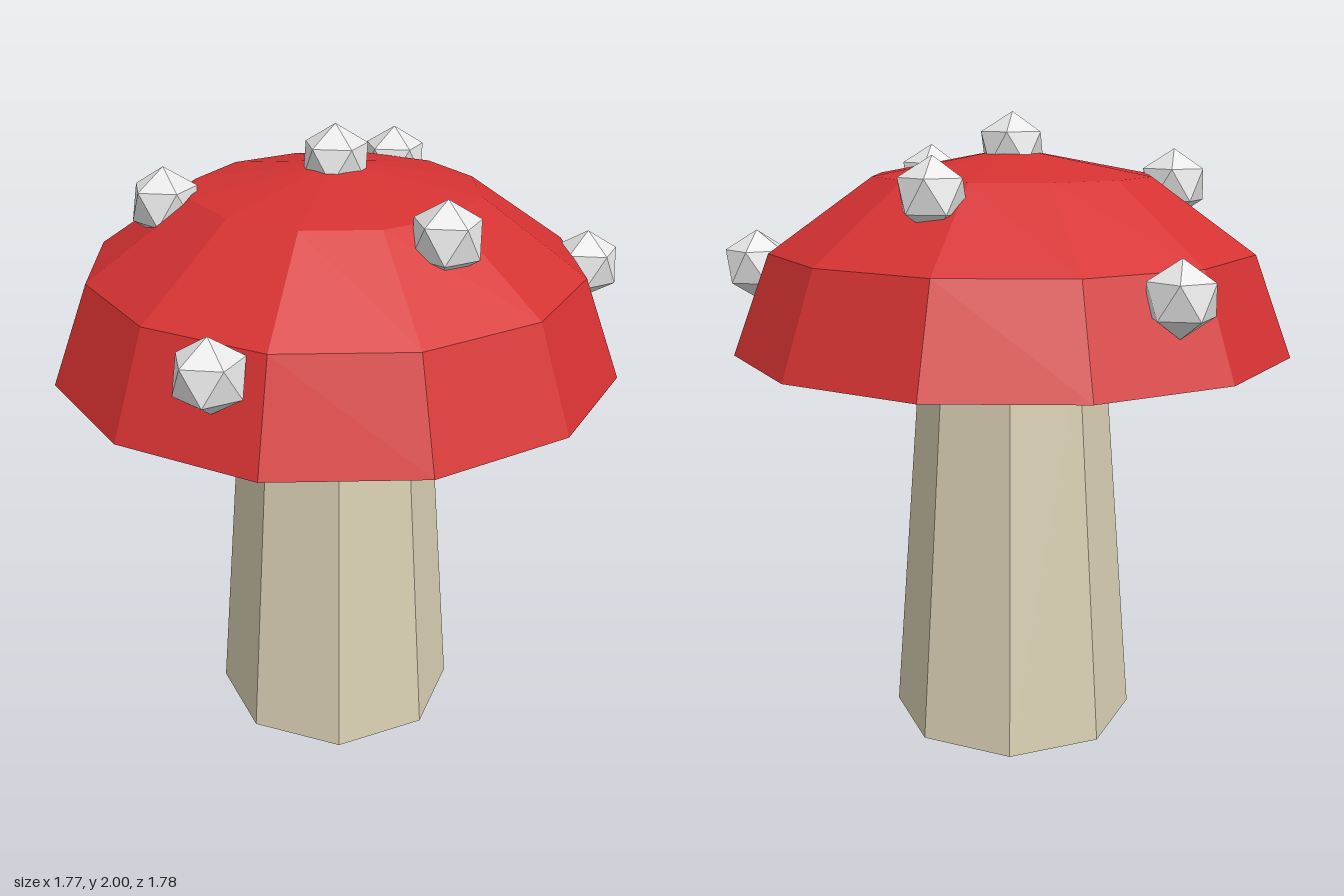
import * as THREE from 'three';

function flatMaterial(name, color) {
  const material = new THREE.MeshStandardMaterial({ color, flatShading: true });
  material.name = name;
  return material;
}

export function createModel() {
  const red = flatMaterial('cap red', 0xd63232);
  const cream = flatMaterial('stem cream', 0xd9cfb3);
  const white = flatMaterial('spot white', 0xe8e8e8);

  const model = new THREE.Group();
  model.name = 'mushroom';
  const add = (name, geometry, material, x, y, z, parent = model) => {
    const mesh = new THREE.Mesh(geometry, material);
    mesh.name = name;
    mesh.position.set(x, y, z);
    parent.add(mesh);
    return mesh;
  };

  const capRadius = 0.885, capHeight = 0.62, capBase = 1.27;

  // Tapered eight-sided stem
  add('stem', new THREE.CylinderGeometry(0.3, 0.4, capBase, 8), cream, 0, capBase / 2, 0);

  // Flattened twelve-sided dome with a flat underside
  const cap = new THREE.Group();
  cap.name = 'cap';
  model.add(cap);
  const dome = new THREE.SphereGeometry(capRadius, 12, 3, 0, Math.PI * 2, 0, Math.PI / 2);
  dome.scale(1, capHeight / capRadius, 1);
  add('capDome', dome, red, 0, capBase, 0, cap);
  const underside = new THREE.CircleGeometry(capRadius, 12);
  underside.rotateX(Math.PI / 2);
  add('capUnderside', underside, red, 0, capBase, 0, cap);

  // Faceted spots centred on the dome surface, each with a corner pointing up
  const spot = new THREE.IcosahedronGeometry(0.11, 0);
  spot.rotateZ(Math.atan2(2, 1 + Math.sqrt(5)));
  const spots = new THREE.Group();
  spots.name = 'spots';
  model.add(spots);
  const places = [
    [0, 0], [0.48, -0.18], [-0.39, -0.33], [-0.09, 0.5],
    [-0.765, 0.27], [0.62, 0.51], [0.14, -0.8],
  ];
  places.forEach(([x, z], i) => {
    const y = capBase + capHeight * Math.sqrt(1 - (x * x + z * z) / capRadius ** 2);
    add(`spot${i + 1}`, spot, white, x, y, z, spots);
  });

  return model;
}
